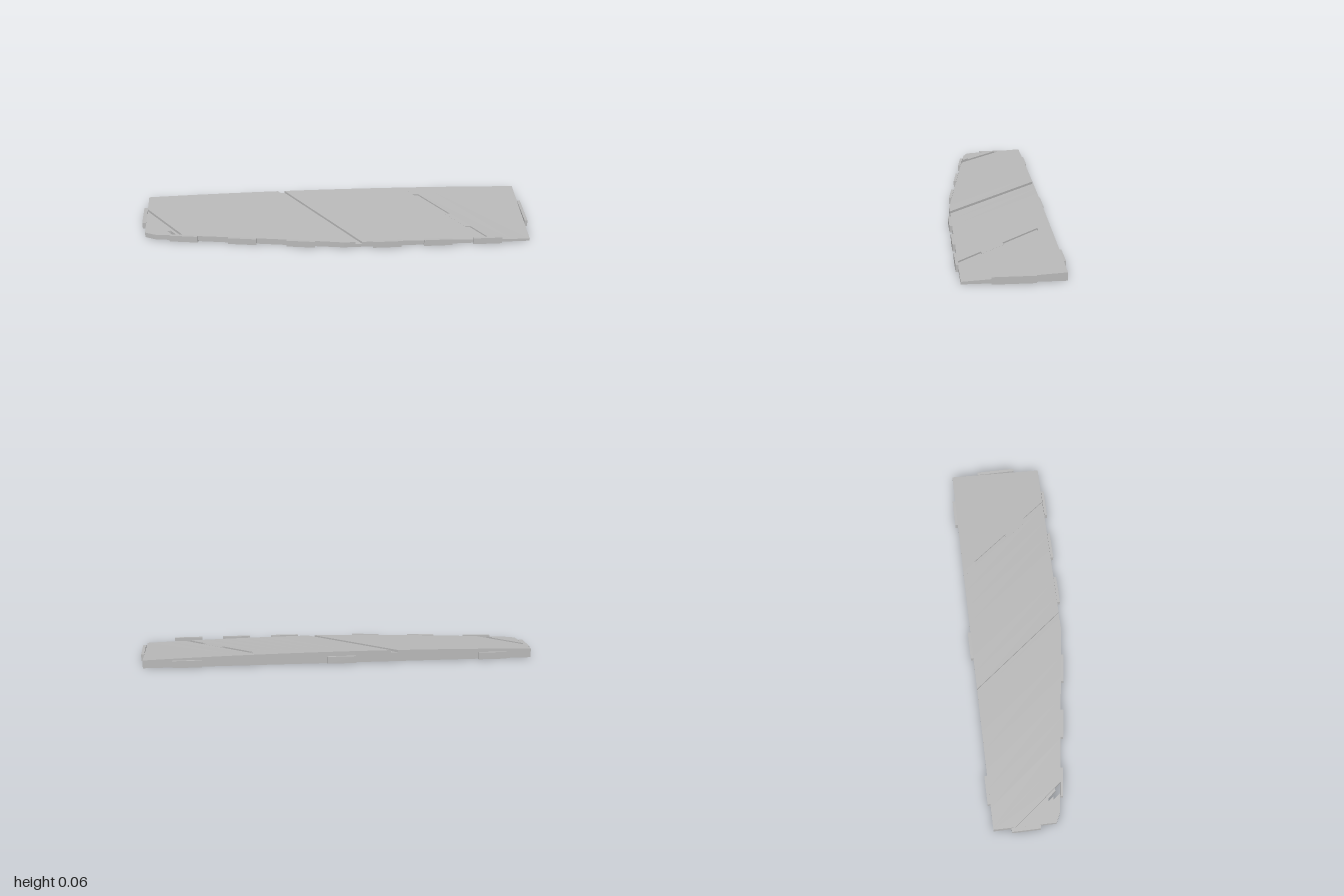
import * as THREE from 'three';

// Plan outline as [x, z]; every groove runs along lines of constant u = x - SHEAR * z
const OUTLINE = [[-0.98, -0.24], [0.985, -0.24], [0.985, 0.235], [0.03, 0.235], [-0.93, 0.0985], [-0.98, 0.075]];
const SHEAR = 0.8;
const TAB_HEIGHT = 0.035;

// Top skin: bowed along the length, falling towards the front
const topHeight = (x, z) => 0.058 - 0.018 * ((x + 0.1) / 1.08) ** 2 - 0.058 * (z + 0.24);

// Keep the side of a convex polygon where f <= 0
function clip(poly, f) {
  const out = [];
  poly.forEach((a, i) => {
    const b = poly[(i + 1) % poly.length];
    const fa = f(a), fb = f(b);
    if (fa <= 0) out.push(a);
    if ((fa < 0 && fb > 0) || (fa > 0 && fb < 0)) {
      const t = fa / (fa - fb);
      out.push([a[0] + (b[0] - a[0]) * t, a[1] + (b[1] - a[1]) * t]);
    }
  });
  return out;
}

// Closed prism over one cell of the plan, sunk by depth
function addCell(pos, u0, u1, z0, z1, depth) {
  let p = OUTLINE;
  p = clip(p, ([x, z]) => u0 - (x - SHEAR * z));
  p = clip(p, ([x, z]) => x - SHEAR * z - u1);
  p = clip(p, ([, z]) => z0 - z);
  p = clip(p, ([, z]) => z - z1);
  if (p.length < 3) return;
  const low = p.map(([x, z]) => [x, 0, z]);
  const high = p.map(([x, z]) => [x, Math.max(0.002, topHeight(x, z) - depth), z]);
  const tri = (a, b, c) => pos.push(...a, ...b, ...c);
  for (let i = 1; i < p.length - 1; i++) {
    tri(high[0], high[i + 1], high[i]);
    tri(low[0], low[i], low[i + 1]);
  }
  for (let i = 0; i < p.length; i++) {
    const j = (i + 1) % p.length;
    tri(low[i], high[i], high[j]);
    tri(low[i], high[j], low[j]);
  }
}

function bodyGeometry() {
  const pos = [];
  // Plain skin between the grooves, in narrow strips to follow the bow
  const spans = [[-1.2, -0.925], [-0.876, -0.098], [-0.063, 0.57], [0.6, 1.2]];
  for (const [a, b] of spans) {
    const n = Math.ceil((b - a) / 0.1);
    for (let i = 0; i < n; i++) addCell(pos, a + (b - a) * i / n, a + (b - a) * (i + 1) / n, -1, 1, 0);
  }
  // Groove cells: u range, z range, depth; gaps are cut right through
  const cells = [
    [-0.098, -0.063, -1, 1, 0.012],
    [0.57, 0.6, -1, -0.175, 0],
    [0.57, 0.6, -0.175, 0.01, 0.008],
    [0.57, 0.6, 0.01, 0.12, 0],
    [0.57, 0.6, 0.12, 1, 0.008],
    [-0.925, -0.908, -1, 0.075, 0],
    [-0.908, -0.892, -1, 0.05, 0.014],
    [-0.892, -0.876, -1, 0.09, 0.014],
  ];
  for (const c of cells) addCell(pos, ...c);
  const g = new THREE.BufferGeometry();
  g.setAttribute('position', new THREE.Float32BufferAttribute(pos, 3));
  g.computeVertexNormals();
  return g;
}

export function createModel() {
  const grey = new THREE.MeshStandardMaterial({ color: 0xb8b8b8 });
  grey.name = 'plain grey';
  const group = new THREE.Group();
  group.name = 'groovedPanel';

  const body = new THREE.Mesh(bodyGeometry(), grey);
  body.name = 'panelBody';
  group.add(body);

  // Edge tabs
  function tab(name, x, z, width, depth, turn = 0) {
    const mesh = new THREE.Mesh(new THREE.BoxGeometry(width, TAB_HEIGHT, depth), grey);
    mesh.name = name;
    mesh.position.set(x, TAB_HEIGHT / 2, z);
    mesh.rotation.y = turn;
    group.add(mesh);
  }
  for (const x of [-0.777, -0.005, 0.767]) tab('backTab', x, -0.247, 0.145, 0.014);
  for (const x of [0.252, 0.512, 0.767]) tab('frontTab', x, 0.242, 0.145, 0.014);
  const slope = (0.235 - 0.0985) / 0.96;
  for (const x of [-0.78, -0.482, -0.186]) {
    tab('slantedFrontTab', x, 0.242 + slope * (x - 0.03), 0.145, 0.014, -Math.atan(slope));
  }
  tab('leftEndTab', 0.9925, 0, 0.015, 0.2);
  tab('rightEndTab', -0.99, -0.078, 0.02, 0.145);
  return group;
}
